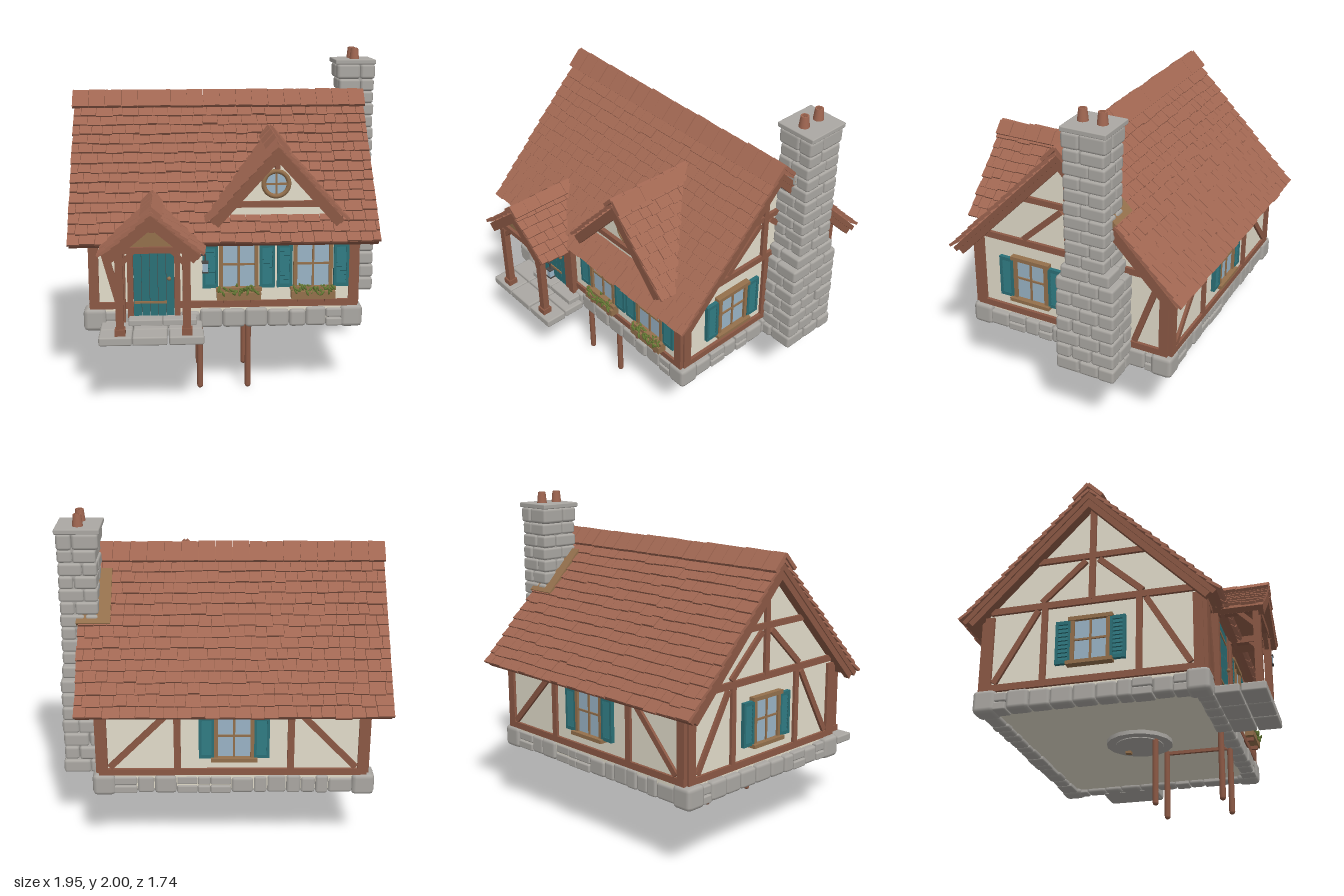
import * as THREE from 'three';
import { mergeGeometries } from 'three/addons/utils/BufferGeometryUtils.js';
import { RoundedBoxGeometry } from 'three/addons/geometries/RoundedBoxGeometry.js';

const mat = (name, color) => Object.assign(new THREE.MeshStandardMaterial({ color }), { name });
const M = {
  tile: mat('clay tile', 0xa16752), wood: mat('timber', 0x8c5945), wall: mat('plaster', 0xe3ddcb),
  stone: mat('stone', 0xaba8a3), teal: mat('teal paint', 0x2b7077), glass: mat('glass', 0x9ab4c6),
  tan: mat('light wood', 0x94704c), green: mat('leaves', 0x667a35), dark: mat('dark iron', 0x4b4846),
};
let seed = 7;
const rnd = () => (seed = (seed * 16807) % 2147483647) / 2147483647;
const vary = (a) => (rnd() - 0.5) * 2 * a;

function add(g, name, geo, m, x = 0, y = 0, z = 0) {
  const o = new THREE.Mesh(geo, m);
  o.name = name;
  o.position.set(x, y, z);
  g.add(o);
  return o;
}
const box = (g, name, m, w, h, d, x, y, z) => add(g, name, new THREE.BoxGeometry(w, h, d), m, x, y, z);
function sub(g, name, x = 0, y = 0, z = 0) {
  const o = new THREE.Group();
  o.name = name;
  o.position.set(x, y, z);
  g.add(o);
  return o;
}
// timber between two points in a wall's own plane
function beam(g, x1, y1, x2, y2, w = 0.045, d = 0.03, z = 0) {
  const b = box(g, 'beam', M.wood, Math.hypot(x2 - x1, y2 - y1), w, d, (x1 + x2) / 2, (y1 + y2) / 2, z);
  b.rotation.z = Math.atan2(y2 - y1, x2 - x1);
}
// group whose local x runs along a wall and local z points outwards
function face(g, name, yaw, dist) {
  const w = sub(g, name, Math.sin(yaw) * dist, 0, Math.cos(yaw) * dist);
  w.rotation.y = yaw;
  return w;
}
function stone(list, w, h, d, x, y, z, yaw = 0) {
  const r = Math.min(w, h, d) * 0.2;
  list.push(new RoundedBoxGeometry(w, h, d, 1, r).translate(x, y, z).rotateY(yaw));
}

// one tiled roof slope: local x along the ridge, local z down the slope
function slope(g, name, pos, yaw, tilt, len, range, rows) {
  const s = sub(g, name, ...pos);
  s.rotation.set(tilt, yaw, 0, 'YXZ');
  const tiles = [], deck = [], h = len / rows;
  for (let r = 0; r < rows; r++) {
    const [x0, x1] = range((r + 0.5) * h);
    deck.push(new THREE.BoxGeometry(x1 - x0 - 0.02, 0.03, h).translate((x0 + x1) / 2, -0.015, (r + 0.5) * h));
    let x = x0 + 0.004 + vary(0.004);
    let first = r % 2;
    while (x < x1 - 0.012) {
      let w = first ? 0.045 : 0.082 + vary(0.022);
      first = 0;
      if (x + w > x1 - 0.02) w = x1 - x;
      const t = new THREE.BoxGeometry(w - 0.003, 0.016, h + 0.025);
      t.rotateX(-0.16).translate(x + w / 2, 0.016 + vary(0.002), (r + 0.5) * h + vary(0.006));
      tiles.push(t);
      x += w;
    }
  }
  add(s, 'roof tiles', mergeGeometries(tiles), M.tile);
  add(s, 'roof deck', mergeGeometries(deck), M.wood);
  return s;
}
// ridge caps for one side of a slope, meeting the other side at the ridge line
function ridge(s, x0, x1, drop) {
  const n = Math.round((x1 - x0) / 0.1), w = (x1 - x0) / n, caps = [];
  for (let i = 0; i < n; i++)
    caps.push(new THREE.BoxGeometry(w - 0.002, 0.022, drop).rotateZ(0.03).translate(x0 + (i + 0.5) * w, 0.034 + vary(0.003), drop / 2 - 0.034));
  add(s, 'ridge caps', mergeGeometries(caps), M.tile);
}

function makeWindow(g, x, y = 0.78, gap = 0.16) {
  const w = sub(g, 'window', x, y, 0);
  box(w, 'pane', M.glass, 0.2, 0.26, 0.008, 0, 0, 0.008);
  for (const s of [-1, 1]) {
    box(w, 'jamb', M.tan, 0.022, 0.28, 0.03, s * 0.105, 0, 0.012);
    const sh = sub(w, 'shutter', s * gap, 0, 0.014);
    for (const e of [-1, 1]) {
      box(sh, 'stile', M.teal, 0.016, 0.265, 0.024, e * 0.037, 0, 0);
      box(sh, 'rail', M.teal, 0.07, 0.022, 0.024, 0, e * 0.121, 0);
    }
    for (let i = 0; i < 9; i++) box(sh, 'slat', M.teal, 0.06, 0.03, 0.008, 0, -0.1 + i * 0.025, 0).rotation.x = -0.35;
  }
  box(w, 'lintel', M.tan, 0.26, 0.024, 0.038, 0, 0.14, 0.014);
  box(w, 'sill', M.tan, 0.27, 0.022, 0.055, 0, -0.137, 0.02);
  box(w, 'mullion', M.tan, 0.012, 0.26, 0.016, 0, 0, 0.012);
  box(w, 'glazing bar', M.tan, 0.2, 0.012, 0.016, 0, 0.01, 0.012);
}
function flowerBox(g, x) {
  const f = sub(g, 'flower box', x, 0.61, 0.035);
  box(f, 'planter', M.tan, 0.26, 0.045, 0.055, 0, 0, 0);
  for (const s of [-1, 1]) box(f, 'bracket', M.wood, 0.02, 0.03, 0.05, s * 0.08, -0.03, -0.005);
  const leaves = [];
  for (let i = 0; i < 36; i++)
    leaves.push(new THREE.SphereGeometry(0.011, 6, 4).scale(0.7, 1.8, 0.7).rotateZ(vary(1)).rotateX(vary(0.7) + 0.25)
      .translate(-0.12 + i * 0.0068, 0.034 + vary(0.02), 0.014 + vary(0.026)));
  add(f, 'plants', mergeGeometries(leaves), M.green);
}
// triangular prism with its apex up, front face at z
function gablePanel(g, name, m, x, yBase, half, rise, z, depth) {
  const s = new THREE.Shape([new THREE.Vector2(-half, 0), new THREE.Vector2(half, 0), new THREE.Vector2(0, rise)]);
  add(g, name, new THREE.ExtrudeGeometry(s, { depth, bevelEnabled: false }), m, x, yBase, z - depth);
}

export function createModel() {
  const root = new THREE.Group();
  root.name = 'cottage';
  const [F, R, B, L] = [0, Math.PI / 2, Math.PI, -Math.PI / 2];

  // plaster body with gable ends
  const prof = new THREE.Shape([[-0.55, 0.43], [0.75, 0.43], [0.75, 0.985], [0.1, 1.655], [-0.55, 0.985]].map((p) => new THREE.Vector2(...p)));
  add(root, 'plaster walls', new THREE.ExtrudeGeometry(prof, { depth: 1.565, bevelEnabled: false }), M.wall, -0.835, 0, 0).rotation.y = R;

  // foundation stones
  const base = [];
  for (const [yaw, dist, a, b] of [[F, 0.575, -0.76, 0.65], [R, 0.765, -0.46, 0.66], [B, 0.765, -0.65, 0.76], [L, 0.875, -0.66, 0.46]]) {
    for (let x = a; x < b - 0.02;) {
      let w = 0.105 + vary(0.035);
      if (x + w > b - 0.05) w = b - x;
      const top = 0.515 + vary(0.01), d = 0.1 + vary(0.01);
      if (rnd() < 0.25) {
        stone(base, w, 0.05, d, x + w / 2, 0.43, dist - 0.05, yaw);
        stone(base, w, 0.055, d, x + w / 2, 0.485, dist - 0.055, yaw);
      } else stone(base, w, top - 0.405, d, x + w / 2, (top + 0.405) / 2, dist - 0.05, yaw);
      x += w;
    }
  }
  for (const x of [-0.82, 0.705]) for (const z of [0.51, -0.71]) stone(base, 0.135, 0.137, 0.135, x, 0.464, z);
  add(root, 'foundation', mergeGeometries(base), M.stone);

  // front wall
  const front = face(root, 'front wall', F, 0.55);
  for (const x of [-0.82, 0.712]) beam(front, x, 0.53, x, 0.98, 0.055, 0.03);
  beam(front, -0.835, 0.55, 0.73, 0.55, 0.04);
  beam(front, -0.835, 0.965, 0.73, 0.965, 0.04);
  beam(front, -0.775, 0.94, -0.68, 0.58);
  for (const x of [0.03, 0.47]) { makeWindow(front, x, 0.785, 0.168); flowerBox(front, x); }
  const door = sub(front, 'door', -0.47, 0, 0.015);
  for (let i = 0; i < 5; i++) box(door, 'plank', M.teal, 0.045, 0.46, 0.022, -0.096 + i * 0.048, 0.72, 0.004);
  box(door, 'door backing', M.dark, 0.24, 0.46, 0.012, 0, 0.72, -0.005);
  for (const y of [0.575, 0.88]) box(door, 'hinge strap', M.tan, 0.19, 0.014, 0.006, -0.02, y, 0.018);
  add(door, 'handle', new THREE.SphereGeometry(0.012, 10, 8), M.tan, 0.09, 0.72, 0.025);
  for (const s of [-1, 1]) beam(door, s * 0.138, 0.48, s * 0.138, 0.96, 0.034, 0.04);

  // gable timbers shared by both ends (c = local x of the ridge)
  const gable = (w, c) => {
    for (const s of [-1, 1]) {
      beam(w, c + s * 0.615, 0.53, c + s * 0.615, 1.0, 0.055, 0.03);
      beam(w, c + s * 0.3, 1.06, c + s * 0.04, 1.3, 0.035);
    }
    beam(w, c - 0.64, 0.55, c + 0.64, 0.55, 0.04);
    beam(w, c - 0.61, 1.035, c + 0.61, 1.035, 0.04);
    beam(w, c - 0.33, 1.33, c + 0.33, 1.33, 0.036);
    beam(w, c, 1.04, c, 1.64, 0.036, 0.034);
  };
  const right = face(root, 'right wall', R, 0.735);
  gable(right, 0.1);
  beam(right, 0.125, 0.55, 0.125, 1.03, 0.035);
  beam(right, 0.53, 0.58, 0.68, 1.01, 0.035);
  makeWindow(right, -0.155, 0.78, 0.168);
  const left = face(root, 'left wall', L, 0.838);
  gable(left, -0.1);
  makeWindow(left, -0.1);
  for (const s of [-1, 1]) {
    beam(left, -0.1 + s * 0.28, 0.55, -0.1 + s * 0.28, 1.03, 0.035);
    beam(left, -0.1 + s * 0.57, 0.58, -0.1 + s * 0.32, 1.01, 0.035);
  }
  const back = face(root, 'back wall', B, 0.752);
  makeWindow(back, 0.06);
  beam(back, -0.73, 0.55, 0.835, 0.55, 0.04);
  beam(back, -0.73, 0.965, 0.835, 0.965, 0.04);
  for (const [corner, post] of [[-0.705, -0.27], [0.81, 0.39]]) {
    const s = Math.sign(corner);
    beam(back, corner, 0.53, corner, 0.98, 0.055, 0.03);
    beam(back, post, 0.55, post, 0.96, 0.04);
    beam(back, corner - s * 0.04, 0.58, post + s * 0.03, 0.95, 0.036);
  }

  // main roof with bargeboards
  const T = 0.799, LEN = 1.06;
  for (const [yaw, a, b] of [[F, -0.965, 0.855], [B, -0.855, 0.965]]) {
    const s = slope(root, yaw ? 'back roof' : 'front roof', [0, 1.7, -0.1], yaw, T, LEN, () => [a, b], 15);
    ridge(s, a - 0.008, b + 0.008, 0.125);
    for (const x of [a + 0.035, b - 0.035]) box(s, 'bargeboard', M.wood, 0.035, 0.055, LEN - 0.02, x, -0.04, LEN / 2 - 0.01);
    if (yaw) box(s, 'chimney flashing', M.tan, 0.2, 0.04, 0.36, -0.76, 0.017, 0.315);
  }
  const roofZ = (y) => -0.1 + (1.7 - y) / 1.027;

  // cross-gabled roofs over the dormer and the porch
  const crossRoof = (g, x, y, tilt, len, z1, rows, cap) => {
    for (const s of [-1, 1]) {
      const range = (v) => {
        const z0 = Math.min(roofZ(y - v * Math.sin(tilt)) - 0.04, 0.6);
        return s > 0 ? [-z1, -z0] : [z0, z1];
      };
      const o = slope(g, 'side roof', [x, y, 0], s * R, tilt, len, range, rows);
      const [a, b] = range(0);
      ridge(o, a, b, cap);
      box(o, 'bargeboard', M.wood, 0.03, 0.05, len - 0.01, -s * (z1 - 0.025), -0.033, len / 2);
    }
  };
  const dormer = sub(root, 'dormer');
  crossRoof(dormer, 0.25, 1.5, 0.835, 0.58, 0.65, 9, 0.09);
  gablePanel(dormer, 'dormer wall', M.wall, 0.25, 1.07, 0.34, 0.37, 0.53, 0.25);
  beam(dormer, -0.02, 1.15, 0.52, 1.15, 0.035, 0.03, 0.54);
  beam(dormer, 0.25, 1.37, 0.25, 1.47, 0.03, 0.04, 0.6);
  add(dormer, 'round frame', new THREE.TorusGeometry(0.074, 0.014, 8, 28), M.tan, 0.25, 1.27, 0.54);
  add(dormer, 'round pane', new THREE.CylinderGeometry(0.074, 0.074, 0.008, 28), M.glass, 0.25, 1.27, 0.536).rotation.x = R;
  for (const [w, h] of [[0.14, 0.011], [0.011, 0.14]]) box(dormer, 'glazing bar', M.tan, w, h, 0.012, 0.25, 1.27, 0.542);

  // porch
  const porch = sub(root, 'porch');
  crossRoof(porch, -0.475, 1.158, 0.7, 0.36, 0.868, 6, 0.08);
  gablePanel(porch, 'porch gable', M.tan, -0.475, 0.97, 0.19, 0.155, 0.81, 0.02);
  beam(porch, -0.7, 0.955, -0.25, 0.955, 0.035, 0.04, 0.81);
  beam(porch, -0.475, 1.06, -0.475, 1.14, 0.03, 0.035, 0.83);
  for (const s of [-1, 1]) {
    const x = -0.47 + s * 0.19;
    for (const z of [0.81, 0.575]) beam(porch, x, 0.45, x, 0.96, 0.045, 0.04, z);
    box(porch, 'foot block', M.wood, 0.06, 0.04, 0.06, x, 0.475, 0.81);
    box(porch, 'side beam', M.wood, 0.04, 0.04, 0.3, x, 0.95, 0.69);
    beam(porch, x, 0.86, x - s * 0.085, 0.95, 0.026, 0.026, 0.81);
    box(porch, 'side brace', M.wood, 0.026, 0.026, 0.13, x, 0.9, 0.75).rotation.x = R / 2;
  }
  const slabs = [];
  for (const [x, w] of [[-0.69, 0.19], [-0.49, 0.2], [-0.285, 0.2]])
    for (const [z, d] of [[0.79, 0.14], [0.645, 0.14]]) stone(slabs, w, 0.052, d, x + vary(0.004), 0.431, z);
  for (const x of [-0.52, -0.32]) stone(slabs, 0.2, 0.04, 0.11, x, 0.472, 0.605);
  add(porch, 'porch paving', mergeGeometries(slabs), M.stone);
  const lamp = sub(porch, 'lantern', -0.175, 0.85, 0.81);
  box(lamp, 'lantern glass', M.glass, 0.03, 0.05, 0.03, 0, 0, 0);
  for (const y of [-0.028, 0.028]) box(lamp, 'lantern cap', M.dark, 0.038, 0.008, 0.038, 0, y, 0);
  box(lamp, 'lantern hook', M.dark, 0.008, 0.04, 0.008, 0, 0.05, 0);
  box(lamp, 'lantern arm', M.dark, 0.09, 0.008, 0.008, -0.04, 0.07, 0);

  // chimney built in courses
  const chimney = sub(root, 'chimney');
  const blocks = [];
  const course = (y, h, x0, x1, z0, z1, nz, k) => {
    const cut = 0.5 + (k % 2 ? 0.12 : -0.12);
    const edge = (t) => z0 + ((t + (t > 0 && t < nz ? (k % 2 ? 0.2 : -0.2) : 0)) / nz) * (z1 - z0);
    for (let i = 0; i < nz; i++) for (let j = 0; j < 2; j++) {
      const za = edge(i), zb = edge(i + 1);
      const xa = j ? x0 + cut * (x1 - x0) : x0, xb = j ? x1 : x0 + cut * (x1 - x0);
      stone(blocks, xb - xa + vary(0.008), h - 0.002, zb - za + vary(0.008), (xa + xb) / 2, y + h / 2, (za + zb) / 2);
    }
  };
  for (let k = 0; k < 7; k++) course(0.405 + k * 0.088, 0.088, 0.72, 0.972 - k * 0.001, -0.513 + k * 0.001, -0.13 - k * 0.002, 3, k);
  course(1.02, 0.0785, 0.725, 0.957, -0.475, -0.165, 2, 0);
  for (let k = 1; k < 10; k++) course(1.02 + k * 0.0785, 0.0785, 0.725, 0.952, -0.45, -0.193, 2, k);
  course(1.803, 0.1, 0.712, 0.955, -0.455, -0.19, 2, 1);
  stone(blocks, 0.26, 0.03, 0.275, 0.83, 1.915, -0.325);
  add(chimney, 'chimney stones', mergeGeometries(blocks), M.stone);
  box(chimney, 'chimney foot', M.stone, 0.23, 0.02, 0.35, 0.845, 0.415, -0.322);
  box(chimney, 'chimney core', M.stone, 0.19, 1.4, 0.22, 0.835, 1.15, -0.323);
  for (const z of [-0.26, -0.378]) {
    add(chimney, 'chimney pot', new THREE.CylinderGeometry(0.024, 0.032, 0.075, 16), M.tile, 0.83, 1.962, z);
    add(chimney, 'pot opening', new THREE.CylinderGeometry(0.016, 0.016, 0.004, 16), M.wood, 0.83, 1.999, z);
  }

  // posts and round hearth beneath the floor
  const under = sub(root, 'underfloor');
  for (const x of [-0.2, 0.09])
    for (const z of [0.5, 0.105]) add(under, 'support post', new THREE.CapsuleGeometry(0.018, 0.414, 4, 12), M.wood, x, 0.225, z);
  box(under, 'post rail', M.wood, 0.02, 0.02, 0.4, 0.09, 0.418, 0.3);
  add(under, 'hearth ring', new THREE.CylinderGeometry(0.2, 0.2, 0.025, 16), M.stone, -0.13, 0.418, -0.01);
  add(under, 'hearth bed', new THREE.CylinderGeometry(0.145, 0.145, 0.008, 20), M.stone, -0.13, 0.404, -0.01);
  box(under, 'hearth peg', M.tan, 0.035, 0.04, 0.035, -0.055, 0.405, -0.1);
  return root;
}
